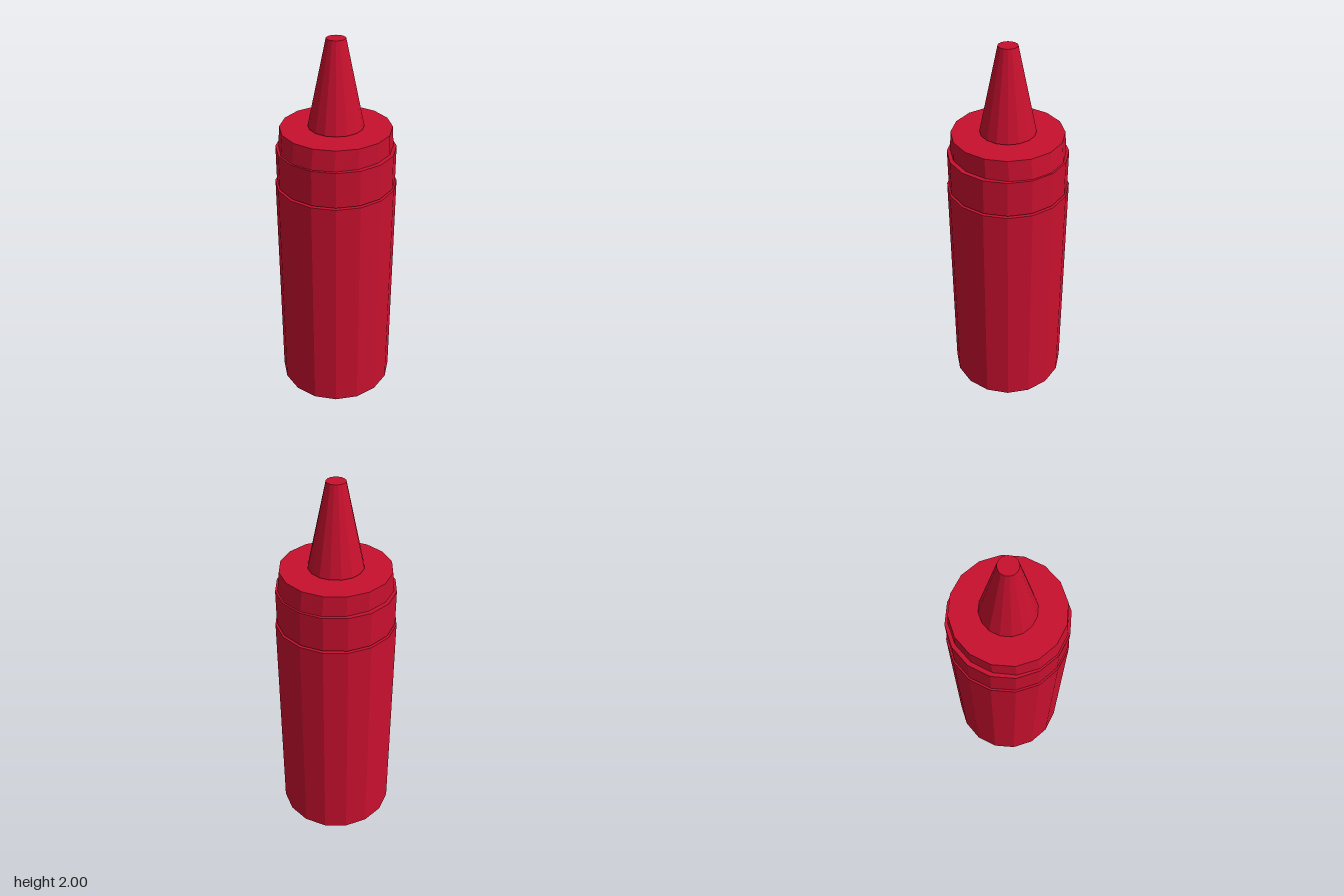
import * as THREE from 'three';

const SIDES = 16;

export function createModel() {
  const group = new THREE.Group();
  group.name = 'squeezeBottle';
  const material = new THREE.MeshStandardMaterial({ color: 0xc8102e, flatShading: true });

  // Closed sixteen-sided section between two heights
  function addSection(name, bottomRadius, topRadius, y0, y1) {
    const geometry = new THREE.CylinderGeometry(topRadius, bottomRadius, y1 - y0, SIDES);
    geometry.translate(0, (y0 + y1) / 2, 0);
    const mesh = new THREE.Mesh(geometry, material);
    mesh.name = name;
    group.add(mesh);
    return mesh;
  }

  addSection('body', 0.314, 0.314, 0, 1.255);
  addSection('collar', 0.306, 0.306, 1.262, 1.45);

  // Cap flares towards its base, sideways only
  const cap = addSection('cap', 0.283, 0.283, 1.45, 1.555);
  const p = cap.geometry.attributes.position;
  for (let i = 0; i < p.count; i++) {
    if (p.getY(i) < 1.5) p.setX(i, p.getX(i) * 1.05);
  }
  cap.geometry.computeVertexNormals();

  addSection('nozzle', 0.141, 0.048, 1.561, 2);

  return group;
}
